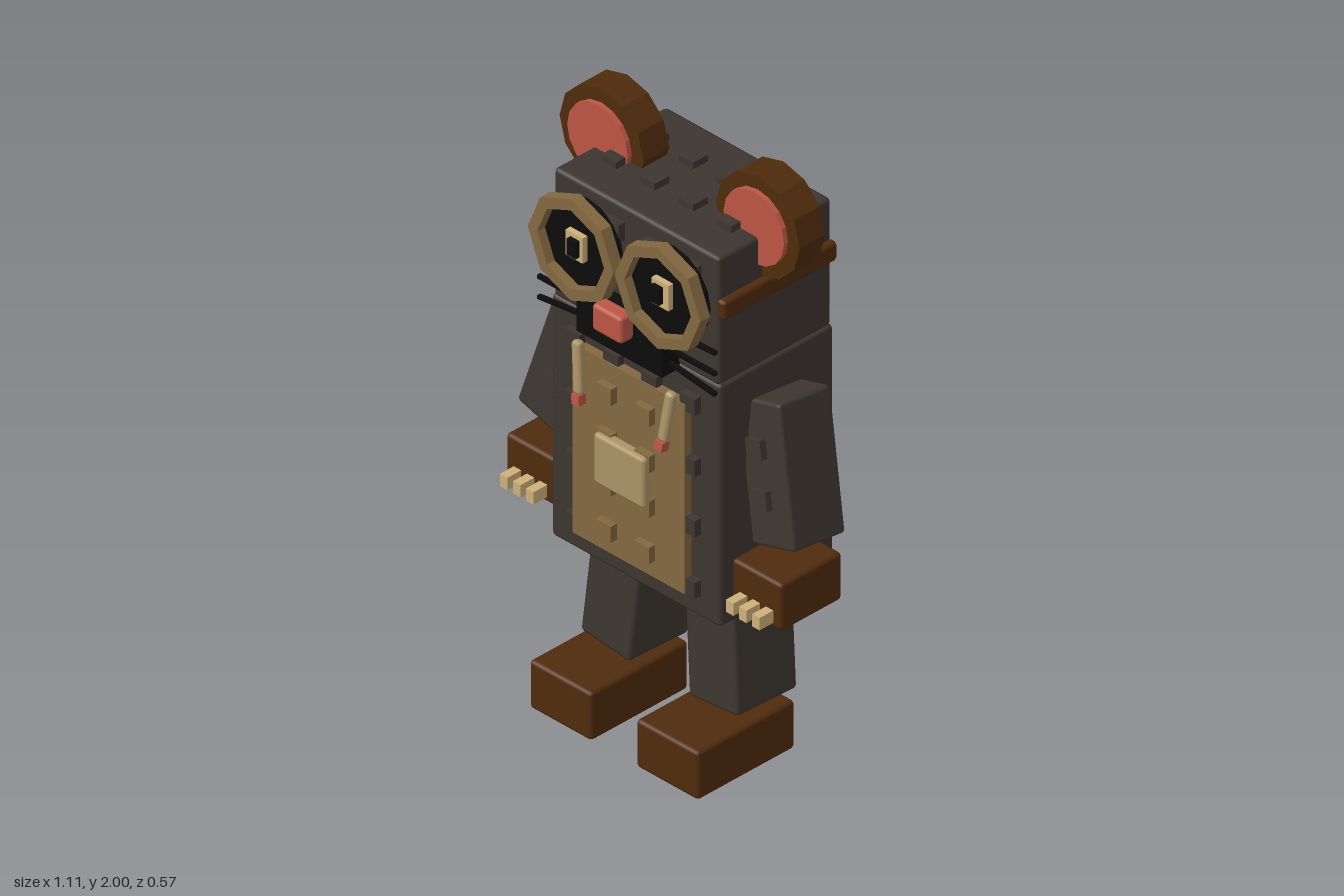
import * as THREE from 'three';
import { RoundedBoxGeometry } from 'three/addons/geometries/RoundedBoxGeometry.js';

const paint = (name, color) => {
  const m = new THREE.MeshStandardMaterial({ color });
  m.name = name;
  return m;
};

export function createModel() {
  const model = new THREE.Group();
  model.name = 'robotMouse';
  const fur = paint('dark fur', 0x3d3630);
  const brown = paint('brown', 0x4f2b0c);
  const tan = paint('tan', 0x836840);
  const light = paint('pale brass', 0xab9465);
  const cream = paint('cream', 0xcdb07a);
  const pink = paint('pink', 0xbc5644);
  const black = paint('black', 0x0c0c0c);

  const add = (name, geo, mat, x, y, z, parent = model) => {
    const m = new THREE.Mesh(geo, mat);
    m.name = name;
    m.position.set(x, y, z);
    parent.add(m);
    return m;
  };
  const box = (name, mat, w, h, d, x, y, z, parent) =>
    add(name, new THREE.BoxGeometry(w, h, d), mat, x, y, z, parent);
  // Box with a narrow chamfer
  const block = (name, mat, w, h, d, x, y, z, parent) =>
    add(name, new RoundedBoxGeometry(w, h, d, 1, 0.012), mat, x, y, z, parent);
  // Short faceted cylinder facing +z
  const disc = (name, mat, r, depth, sides, x, y, z, parent) => {
    const geo = new THREE.CylinderGeometry(r, r, depth, sides).rotateX(Math.PI / 2).toNonIndexed();
    geo.computeVertexNormals();
    return add(name, geo, mat, x, y, z, parent);
  };

  // Torso and head
  block('torso', fur, 0.68, 0.825, 0.455, 0, 0.96, -0.057);
  block('head', fur, 0.665, 0.435, 0.45, 0, 1.585, -0.057);

  // Studs on head and torso
  for (const x of [-0.232, -0.077, 0.077, 0.232]) {
    for (const z of [-0.135, 0.018]) box('headTopStud', fur, 0.06, 0.03, 0.06, x, 1.81, z);
    for (const y of [1.72, 1.56]) box('faceStud', fur, 0.06, 0.06, 0.03, x, y, 0.178);
    for (const y of [1.275, 1.065, 0.86, 0.65]) box('torsoStud', fur, 0.06, 0.055, 0.035, x, y, 0.178);
  }

  // Belly panel with studs and plate
  box('bellyPanel', tan, 0.45, 0.645, 0.03, 0, 0.947, 0.185);
  for (const x of [-0.077, 0.077]) {
    for (const y of [0.71, 0.868, 1.02, 1.177]) box('bellyStud', tan, 0.06, 0.055, 0.03, x, y, 0.21);
  }
  block('bellyPlate', light, 0.205, 0.17, 0.04, 0, 0.957, 0.222);

  // Snout and nose
  box('snout', black, 0.345, 0.14, 0.075, 0, 1.425, 0.2);
  block('nose', pink, 0.12, 0.09, 0.055, 0, 1.48, 0.262);

  for (const s of [-1, 1]) {
    // Ear
    disc('ear', brown, 0.169, 0.103, 12, s * 0.315, 1.83, -0.057);
    disc('innerEar', pink, 0.122, 0.02, 16, s * 0.315, 1.83, 0.001);

    // Side strap of the goggles
    block('strap', brown, 0.035, 0.065, 0.455, s * 0.34, 1.632, -0.057);

    // Goggles: lens and an eight-bar rim
    disc('lens', black, 0.148, 0.035, 16, s * 0.175, 1.638, 0.209);
    for (let i = 0; i < 8; i++) {
      const a = (i + 0.5) * Math.PI / 4;
      const bar = box('gogglesRim', tan, 0.035, 0.132, 0.04,
        s * 0.175 + Math.cos(a) * 0.142, 1.638 + Math.sin(a) * 0.142, 0.238);
      bar.rotation.z = a;
    }
    box('eye', cream, 0.068, 0.086, 0.02, s * 0.173, 1.645, 0.236);
    box('pupil', black, 0.036, 0.056, 0.016, s * 0.168, 1.647, 0.255);

    // Whiskers
    [[1.506, 0.05], [1.44, 0], [1.382, -0.12]].forEach(([y, tilt]) => {
      const w = box('whisker', black, 0.2, 0.012, 0.014, s * 0.257, y, 0.205);
      w.rotation.z = s * tilt;
    });

    // Slanted chest tusk with a tip
    const tusk = new THREE.Group();
    tusk.name = 'chestTusk';
    tusk.position.set(s * 0.178, 1.21, 0.222);
    tusk.rotation.set(-0.08, 0, s * -0.12);
    model.add(tusk);
    block('tusk', light, 0.035, 0.17, 0.03, 0, 0.01, 0, tusk);
    box('tuskTip', pink, 0.03, 0.032, 0.03, 0, -0.088, 0.004, tusk);

    // Arm, leaning outward and forward
    const arm = new THREE.Group();
    arm.name = 'arm';
    arm.position.set(s * 0.42, 1.05, -0.035);
    arm.rotation.set(-0.12, 0, s * 0.257);
    model.add(arm);
    block('upperArm', fur, 0.172, 0.447, 0.21, 0, 0, 0, arm);
    for (const y of [-0.075, 0.08]) box('armStud', fur, 0.06, 0.06, 0.03, s * -0.015, y, 0.113, arm);

    // Hand and fingers
    block('hand', brown, 0.2, 0.16, 0.245, s * 0.455, 0.7, 0.017);
    for (const x of [0.403, 0.455, 0.508]) box('finger', cream, 0.03, 0.042, 0.07, s * x, 0.66, 0.16);

    // Leg and foot
    const leg = block('leg', fur, 0.2, 0.42, 0.24, s * 0.2, 0.385, -0.05);
    leg.rotation.set(-0.04, 0, s * 0.09);
    block('foot', brown, 0.25, 0.163, 0.39, s * 0.215, 0.0815, 0.065);
  }
  return model;
}
